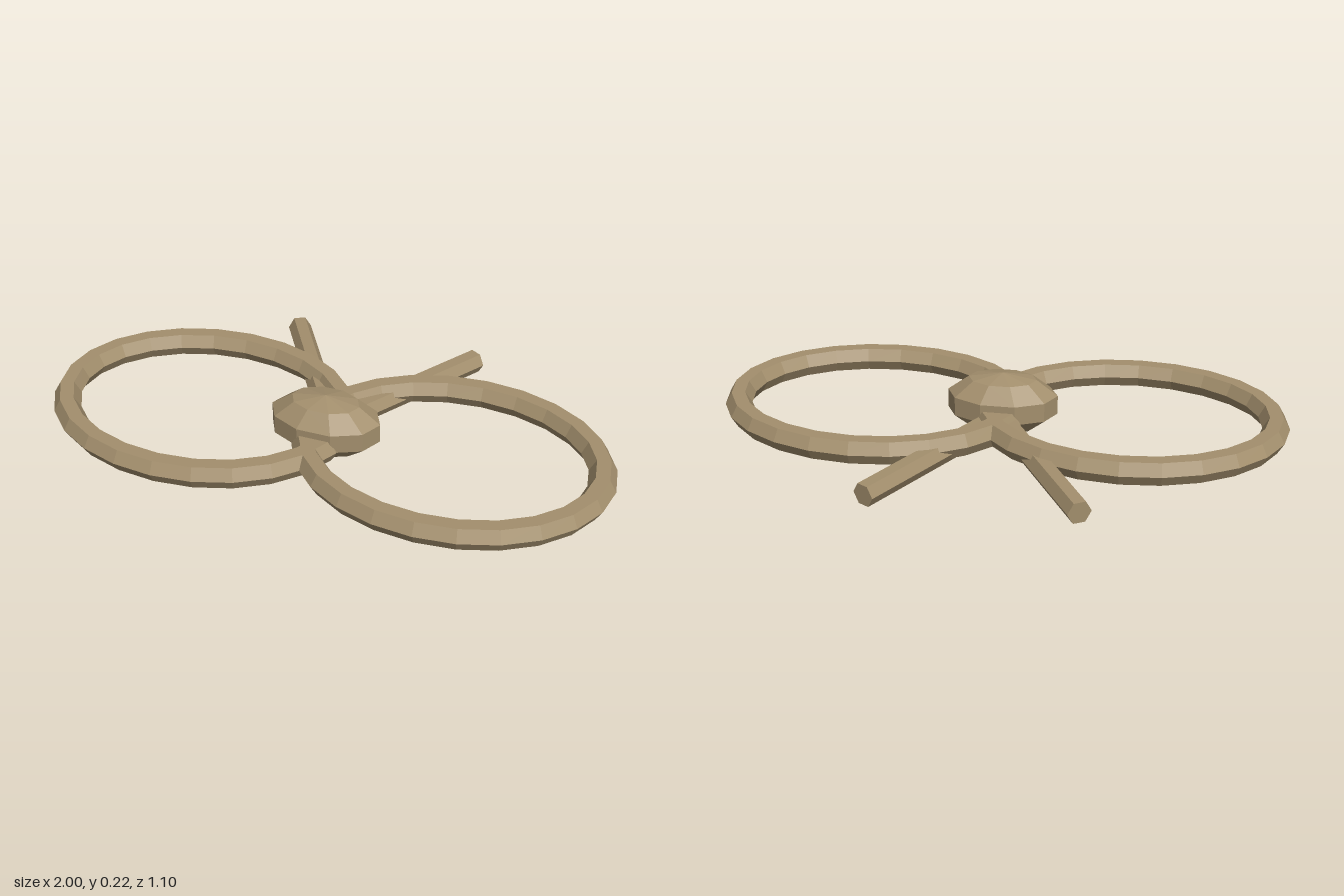
import * as THREE from 'three';

const TUBE = 0.0475, RX = 0.5025, RZ = 0.393, CZ = 0.106;

// Oval six-sided loop: a torus with its centre line moved onto an ellipse.
function ovalLoop() {
  const geo = new THREE.TorusGeometry(1, TUBE, 6, 24);
  const p = geo.attributes.position;
  for (let i = 0; i < p.count; i++) {
    const a = Math.atan2(p.getY(i), p.getX(i));
    const off = Math.hypot(p.getX(i), p.getY(i)) - 1;
    const c = Math.cos(a), s = Math.sin(a);
    const n = new THREE.Vector2(RZ * c, RX * s).normalize();
    p.setXY(i, RX * c + n.x * off, RZ * s + n.y * off);
  }
  geo.rotateX(-Math.PI / 2);
  geo.computeVertexNormals();
  return geo;
}

// Straight six-sided bar along +z, with flats above and below.
function bar(radius, length) {
  const geo = new THREE.CylinderGeometry(radius, radius, length, 6);
  geo.rotateY(Math.PI / 2);
  geo.rotateX(Math.PI / 2);
  return geo;
}

export function createModel() {
  const model = new THREE.Group();
  model.name = 'ropeBow';
  const rope = new THREE.MeshStandardMaterial({ color: 0xa38f6d });
  rope.name = 'tan rope';
  rope.flatShading = true;

  const add = (name, geo, x, y, z) => {
    const mesh = new THREE.Mesh(geo, rope);
    mesh.name = name;
    mesh.position.set(x, y, z);
    model.add(mesh);
    return mesh;
  };

  for (const [side, s] of [['left', 1], ['right', -1]]) {
    // Loop of the bow
    add(side + 'Loop', ovalLoop(), s * 0.45, 0.081, CZ);

    // Loose end trailing behind the knot
    const start = new THREE.Vector3(s * 0.005, 0.068, 0.045);
    const end = new THREE.Vector3(s * 0.348, 0.049, -0.533);
    const mid = start.clone().add(end).multiplyScalar(0.5);
    add(side + 'Tail', bar(0.042, start.distanceTo(end)), mid.x, mid.y, mid.z).lookAt(end);
  }

  // Faceted knot in the middle
  const knot = new THREE.SphereGeometry(1, 10, 5);
  knot.scale(0.205, 0.11, 0.132);
  add('knot', knot, 0, 0.113, CZ);

  return model;
}
